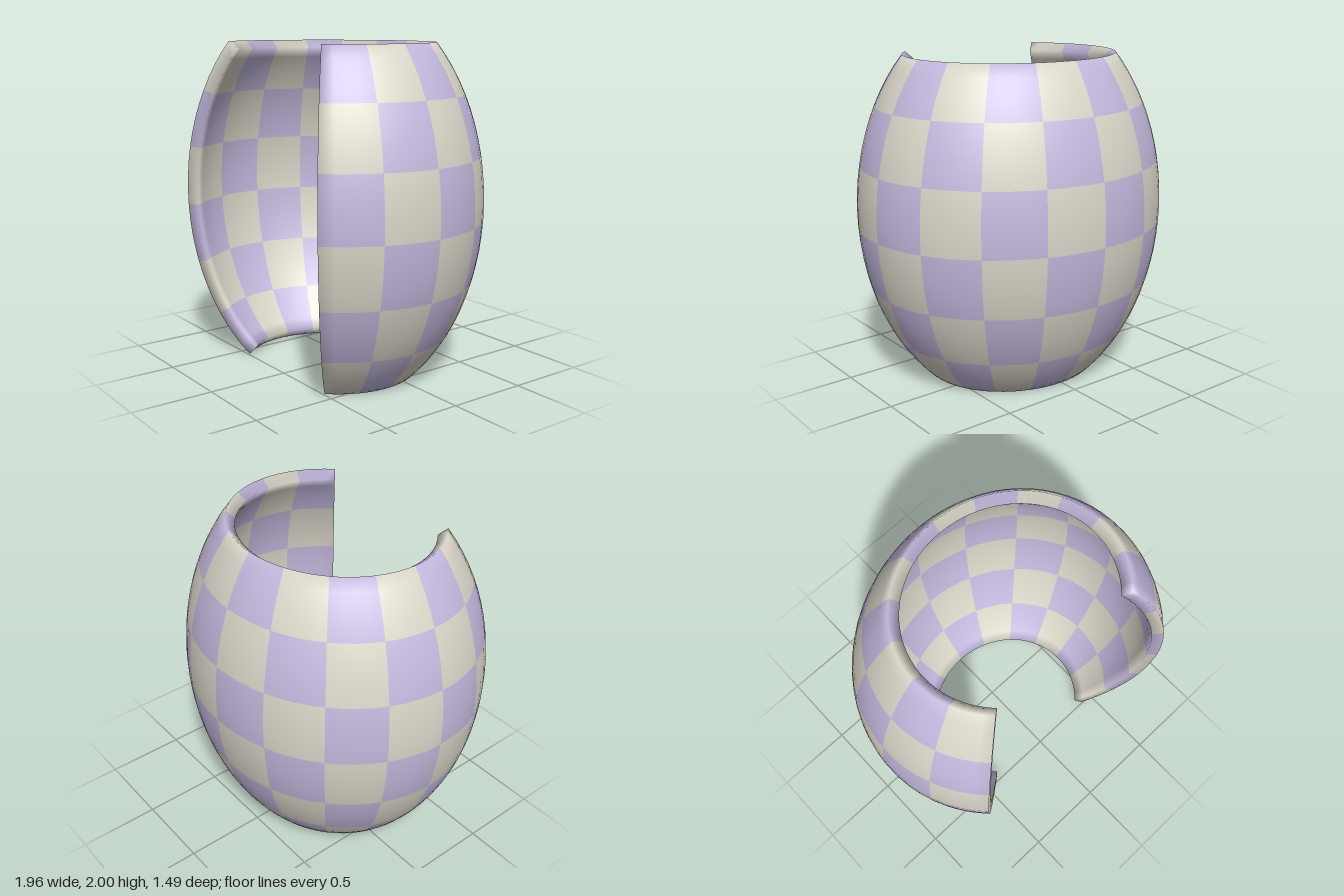
import * as THREE from 'three';

const COLUMNS = 12, ROWS = 6, SEG = 4;        // checks around, checks down, quads per check
const NU = COLUMNS * SEG, NV = ROWS * SEG;
const HALF_ARC = THREE.MathUtils.degToRad(132.6);
const LAT_TOP = THREE.MathUtils.degToRad(46.9), LAT_BOTTOM = THREE.MathUtils.degToRad(-54.55);
const RADIUS = 0.98, HEIGHT = 1.295, CENTRE_Y = 1.055;
const DEPTH_SCALE = 0.905, CENTRE_Z = 0.142, THICKNESS = 0.075;

// Point on the open ellipsoid shell: u around from the back, v downwards, inset along the profile normal
function shellPoint(u, v, inset) {
  const theta = THREE.MathUtils.lerp(-HALF_ARC, HALF_ARC, u);
  const lat = THREE.MathUtils.lerp(LAT_TOP, LAT_BOTTOM, v);
  const normal = new THREE.Vector2(Math.cos(lat) / RADIUS, Math.sin(lat) / HEIGHT).normalize();
  const r = RADIUS * Math.cos(lat) - normal.x * inset;
  const y = CENTRE_Y + HEIGHT * Math.sin(lat) - normal.y * inset;
  return [r * Math.sin(theta), y, CENTRE_Z - DEPTH_SCALE * r * Math.cos(theta)];
}

function shellGeometry() {
  const positions = [];
  for (const inset of [0, THICKNESS])
    for (let j = 0; j <= NV; j++)
      for (let i = 0; i <= NU; i++) positions.push(...shellPoint(i / NU, j / NV, inset));

  const layer = (NU + 1) * (NV + 1);
  const id = (i, j) => j * (NU + 1) + i;
  const faces = [[], []];                      // one index list per colour

  for (let j = 0; j < NV; j++) {
    for (let i = 0; i < NU; i++) {
      const list = faces[(Math.floor(i / SEG) + Math.floor(j / SEG)) % 2];
      const quad = (a, b, c, d) => list.push(a, b, c, a, c, d);
      const a = id(i, j), b = id(i + 1, j), c = id(i + 1, j + 1), d = id(i, j + 1);
      const rim = (p, q) => quad(q, p, p + layer, q + layer);
      quad(a, b, c, d);                                        // outer wall
      quad(d + layer, c + layer, b + layer, a + layer);        // inner wall
      // rims and cut edges, in the colour of the neighbouring check
      if (j === 0) rim(a, b);
      if (i === NU - 1) rim(b, c);
      if (j === NV - 1) rim(c, d);
      if (i === 0) rim(d, a);
    }
  }

  const geometry = new THREE.BufferGeometry();
  geometry.setAttribute('position', new THREE.Float32BufferAttribute(positions, 3));
  geometry.setIndex([...faces[0], ...faces[1]]);
  geometry.addGroup(0, faces[0].length, 0);
  geometry.addGroup(faces[0].length, faces[1].length, 1);
  geometry.computeVertexNormals();             // shared vertices give soft edges
  return geometry;
}

export function createModel() {
  const lilac = new THREE.MeshStandardMaterial({ color: 0xc4b9de });
  lilac.name = 'lilac';
  const cream = new THREE.MeshStandardMaterial({ color: 0xdad6c9 });
  cream.name = 'cream';

  // The first check (model's right end, top row) is cream
  const shell = new THREE.Mesh(shellGeometry(), [cream, lilac]);
  shell.name = 'checkeredShell';

  const model = new THREE.Group();
  model.name = 'openBarrelShell';
  model.add(shell);
  return model;
}
